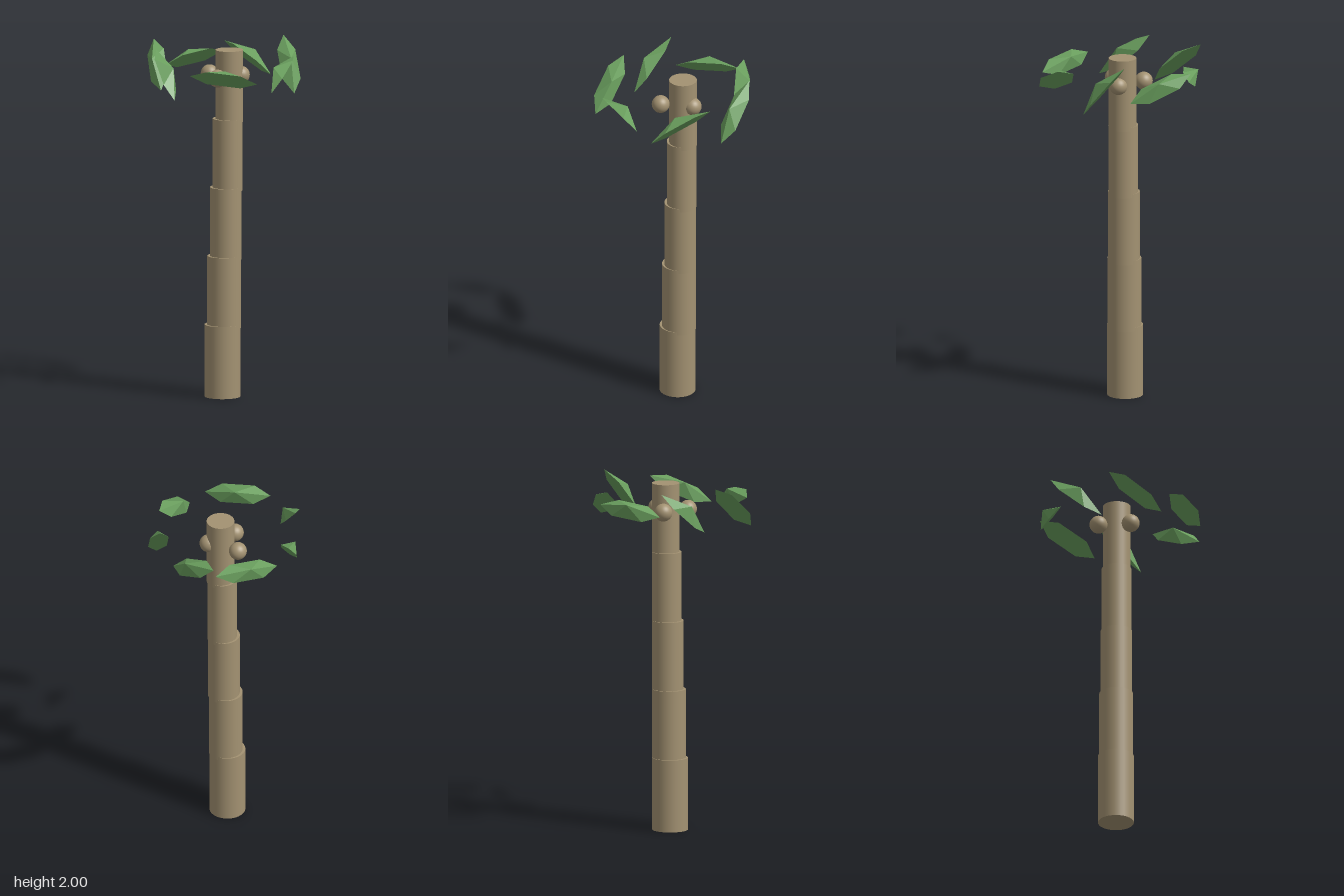
import * as THREE from 'three';

const bark = new THREE.MeshStandardMaterial({ color: 0xa39272 });
const green = new THREE.MeshStandardMaterial({ color: 0x6a9f5e, flatShading: true });
const AXIS_X = -0.013, AXIS_Z = -0.01;

function add(parent, name, geometry, material, x, y, z) {
  const mesh = new THREE.Mesh(geometry, material);
  mesh.name = name;
  mesh.position.set(x, y, z);
  parent.add(mesh);
  return mesh;
}

export function createModel() {
  const palm = new THREE.Group();
  palm.name = 'palmTree';

  // Trunk: five overlapping cylinders that narrow and drift sideways
  const trunk = new THREE.Group();
  trunk.name = 'trunk';
  palm.add(trunk);
  for (let i = 0; i < 5; i++) {
    const r = 0.1 - i * 0.0057;
    add(trunk, 'trunkSegment', new THREE.CylinderGeometry(r, r, 0.407, 32), bark,
      -0.015 + i * 0.0096, 0.2035 + i * 0.387, -0.008);
  }

  // Three coconuts around the trunk
  const nuts = new THREE.Group();
  nuts.name = 'coconuts';
  palm.add(nuts);
  const nut = new THREE.SphereGeometry(0.05, 32, 16);
  for (let i = 0; i < 3; i++) {
    const a = i * Math.PI * 2 / 3;
    add(nuts, 'coconut', nut, bark, AXIS_X + 0.104 * Math.cos(a), 1.81, AXIS_Z - 0.104 * Math.sin(a));
  }

  // Ring of seven leaves: stretched six-sided cones, each tilted and spun differently
  const leaves = new THREE.Group();
  leaves.name = 'leaves';
  palm.add(leaves);
  const cone = new THREE.ConeGeometry(1, 1, 6);
  const spins = [0, -58, -98, -147, 147, 98, 58];
  spins.forEach((spin, i) => {
    const a = i * Math.PI * 2 / 7;
    const leaf = add(leaves, 'leaf', cone, green,
      AXIS_X + 0.386 * Math.cos(a), 1.875, AXIS_Z - 0.386 * Math.sin(a));
    leaf.scale.set(0.06, 0.065, 0.19);
    leaf.rotateY(2 * a);
    leaf.rotateX(THREE.MathUtils.degToRad(49.8));
    leaf.rotateY(THREE.MathUtils.degToRad(spin));
  });

  return palm;
}
